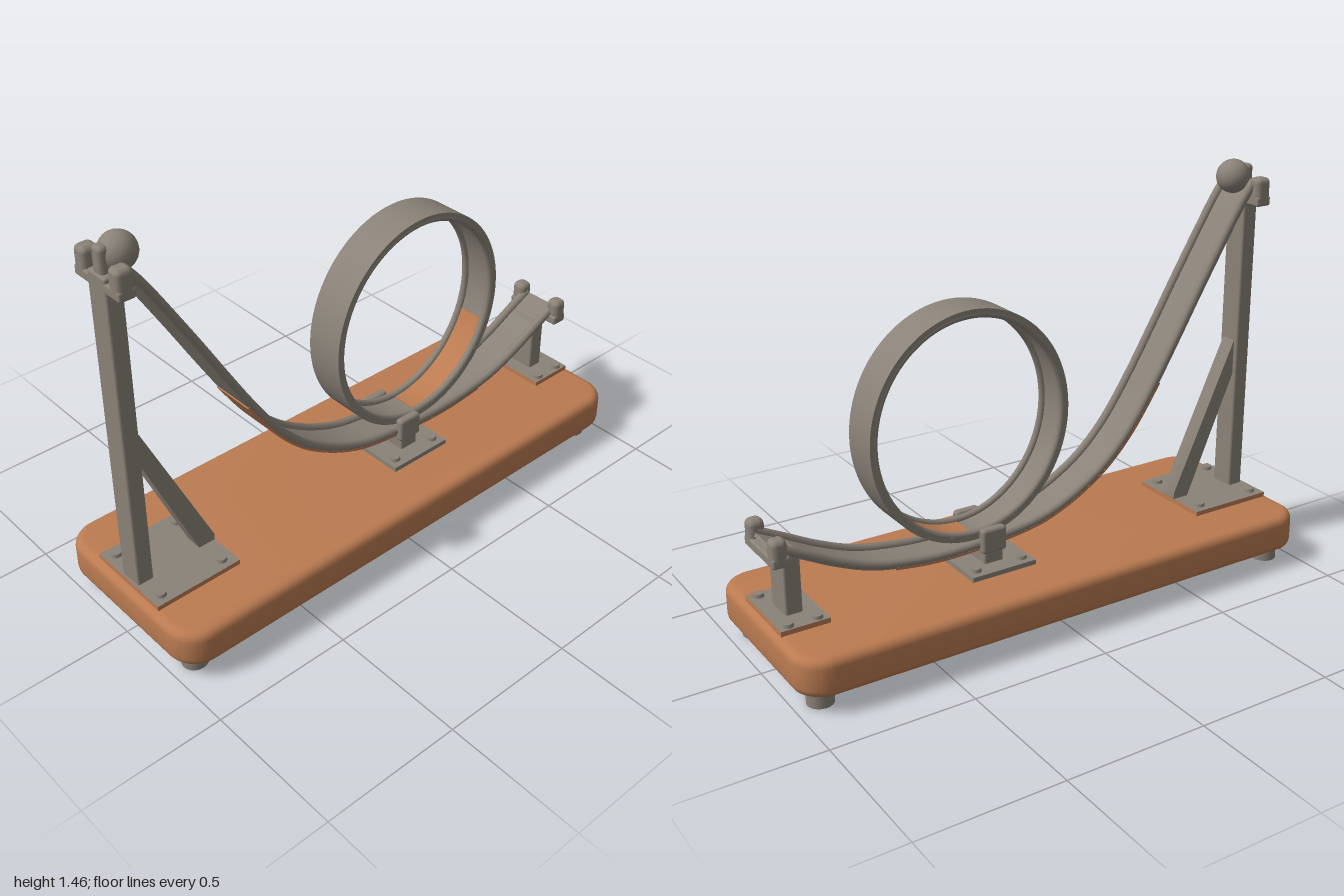
import * as THREE from 'three';
import { toCreasedNormals } from 'three/addons/utils/BufferGeometryUtils.js';
import { RoundedBoxGeometry } from 'three/addons/geometries/RoundedBoxGeometry.js';

export function createModel() {
  const model = new THREE.Group();
  const metal = new THREE.MeshStandardMaterial({ color: 0x8a8278 });
  metal.name = 'grey metal';
  const wood = new THREE.MeshStandardMaterial({ color: 0xbb7b51 });
  wood.name = 'warm wood';

  function add(name, geometry, material, x = 0, y = 0, z = 0, parent = model) {
    const mesh = new THREE.Mesh(geometry, material);
    mesh.name = name;
    mesh.position.set(x, y, z);
    parent.add(mesh);
    return mesh;
  }
  // Box given by its limits on each axis
  function block(name, [x0, x1], [y0, y1], [z0, z1], r = 0.008) {
    return add(name, new RoundedBoxGeometry(x1 - x0, y1 - y0, z1 - z0, 2, r), metal,
      (x0 + x1) / 2, (y0 + y1) / 2, (z0 + z1) / 2);
  }
  // Extrude a side profile drawn in (z, y) across the width
  function sideExtrude(shape, width) {
    const g = new THREE.ExtrudeGeometry(shape, { depth: width, bevelEnabled: false, curveSegments: 64 });
    g.translate(0, 0, -width / 2).rotateY(-Math.PI / 2);
    return toCreasedNormals(g, 0.6);
  }

  // Base board with rounded corners and softened edges
  const W = 0.32, L = 0.97, R = 0.075;
  const board = new THREE.Shape();
  board.moveTo(-W + R, -L);
  board.absarc(W - R, -L + R, R, -Math.PI / 2, 0);
  board.absarc(W - R, L - R, R, 0, Math.PI / 2);
  board.absarc(-W + R, L - R, R, Math.PI / 2, Math.PI);
  board.absarc(-W + R, -L + R, R, Math.PI, Math.PI * 1.5);
  const boardGeo = new THREE.ExtrudeGeometry(board, {
    depth: 0.075, bevelThickness: 0.03, bevelSize: 0.03, bevelSegments: 4, curveSegments: 10 });
  boardGeo.rotateX(-Math.PI / 2);
  add('baseBoard', toCreasedNormals(boardGeo, 0.7), wood, 0, 0.09, 0);

  // Feet
  for (const x of [-0.25, 0.25]) for (const z of [-0.91, 0.91])
    add('foot', new THREE.CylinderGeometry(0.045, 0.045, 0.07, 20), metal, x, 0.035, z);

  // Bolted mounting plates
  function plate(name, hw, z0, z1, boltX, boltZ, edge) {
    const geo = new THREE.BoxGeometry(hw * 2, 0.018, z1 - z0);
    add(name, geo, [edge, edge, metal, metal, edge, edge], 0, 0.203, (z0 + z1) / 2);
    for (const x of [-boltX, boltX]) for (const z of boltZ)
      add('bolt', new THREE.CylinderGeometry(0.017, 0.02, 0.014, 10), metal, x, 0.217, z);
  }
  plate('towerPlate', 0.165, 0.65, 0.975, 0.125, [0.695, 0.935], wood);
  plate('middlePlate', 0.16, -0.3, -0.05, 0.12, [-0.265, -0.085], metal);
  plate('endPlate', 0.14, -0.98, -0.81, 0.115, [-0.845, -0.945], wood);

  // Launch tower, its fork and the ball
  block('towerPost', [-0.045, 0.045], [0.2, 1.35], [0.905, 0.965]);
  block('towerCrossbar', [-0.113, 0.113], [1.3, 1.335], [0.905, 0.965]);
  for (const s of [-1, 1])
    block('towerProng', [s * 0.085 - 0.028, s * 0.085 + 0.028], [1.3, 1.4], [0.905, 0.965], 0.018);
  block('ballStop', [-0.024, 0.024], [1.32, 1.435], [0.925, 0.96], 0.015);
  add('ball', new THREE.SphereGeometry(0.06, 32, 20), metal, 0, 1.395, 0.885);

  // Diagonal brace
  const brace = new THREE.Shape([[0.91, 0.8], [0.65, 0.235], [0.65, 0.205], [0.71, 0.205], [0.91, 0.67]]
    .map(([z, y]) => new THREE.Vector2(z, y)));
  add('towerBrace', sideExtrude(brace, 0.06), metal);

  // Middle saddle, holding track and loop
  block('saddlePost', [-0.095, 0.095], [0.2, 0.272], [-0.215, -0.14]);
  for (const s of [-1, 1])
    block('saddleClamp', [s * 0.087 - 0.017, s * 0.087 + 0.017], [0.25, 0.34], [-0.225, -0.13], 0.012);

  // End support with its fork
  block('endPost', [-0.055, 0.055], [0.2, 0.425], [-0.925, -0.865]);
  block('endCrossbar', [-0.113, 0.113], [0.41, 0.445], [-0.98, -0.92]);
  for (const s of [-1, 1])
    block('endProng', [s * 0.087 - 0.028, s * 0.087 + 0.028], [0.41, 0.505], [-0.98, -0.925], 0.02);

  // Track centre line in (z, y)
  const path = new THREE.SplineCurve([
    [0.92, 1.385], [0.85, 1.29], [0.7, 1.045], [0.6, 0.875], [0.5, 0.71], [0.4, 0.565], [0.3, 0.46],
    [0.2, 0.39], [0.1, 0.34], [0, 0.308], [-0.15, 0.288], [-0.33, 0.278], [-0.47, 0.286],
    [-0.62, 0.312], [-0.75, 0.362], [-0.86, 0.418], [-0.96, 0.468],
  ].map(([z, y]) => new THREE.Vector2(z, y)));

  // Strip between two offsets from the centre line, n pointing up from the track
  function strip(t0, t1, low, high) {
    const a = [], b = [];
    for (let i = 0; i <= 70; i++) {
      const t = t0 + (t1 - t0) * i / 70;
      const p = path.getPoint(t), d = path.getTangent(t);
      const n = new THREE.Vector2(d.y, -d.x);
      a.push(p.clone().addScaledVector(n, low));
      b.unshift(p.clone().addScaledVector(n, high));
    }
    return new THREE.Shape([...a, ...b]);
  }
  add('trackFloor', sideExtrude(strip(0, 1, -0.015, -0.002), 0.16), metal);
  add('trackUnderside', sideExtrude(strip(0.245, 0.78, -0.019, -0.011), 0.163), wood);

  // Side rails of the track and of the loop
  function rail(name, points, x, radius, closed) {
    const curve = new THREE.CatmullRomCurve3(points.map(p => new THREE.Vector3(x, p.y, p.x)), closed);
    add(name, new THREE.TubeGeometry(curve, 110, radius, 10, closed), metal);
  }
  const loopZ = -0.24, loopY = 0.705;
  const loopLine = new THREE.EllipseCurve(loopZ, loopY, 0.358, 0.384).getPoints(48).slice(0, -1);
  for (const s of [-1, 1]) {
    rail('trackRail', path.getPoints(64), s * 0.07, 0.016, false);
    rail('loopRail', loopLine, s * 0.06, 0.013, true);
  }

  // Loop band
  const ring = new THREE.Shape();
  ring.absellipse(loopZ, loopY, 0.377, 0.404, 0, Math.PI * 2);
  const hole = new THREE.Path();
  hole.absellipse(loopZ, loopY, 0.361, 0.388, 0, Math.PI * 2, true);
  ring.holes.push(hole);
  add('loopBand', sideExtrude(ring, 0.144), metal);

  // Coloured lining on the lower rear of the loop
  const outer = new THREE.EllipseCurve(loopZ, loopY, 0.363, 0.39, Math.PI * 1.12, Math.PI * 1.5).getPoints(24);
  const inner = new THREE.EllipseCurve(loopZ, loopY, 0.357, 0.384, Math.PI * 1.12, Math.PI * 1.5).getPoints(24);
  add('loopLining', sideExtrude(new THREE.Shape([...outer, ...inner.reverse()]), 0.1), wood);

  return model;
}
